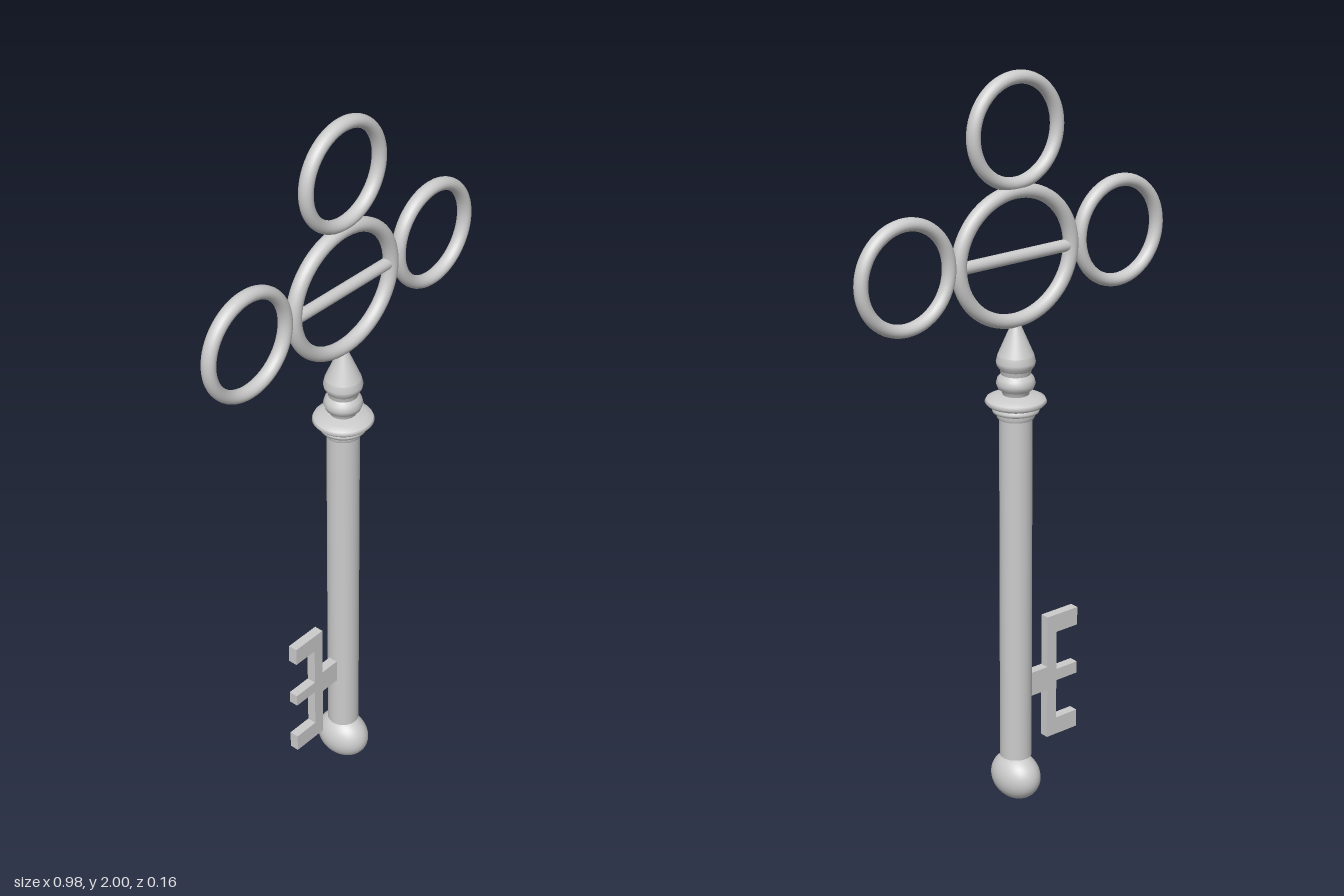
import * as THREE from 'three';

const metal = new THREE.MeshStandardMaterial({ color: 0xcccccc });

function add(group, name, geometry, x = 0, y = 0, z = 0) {
  const mesh = new THREE.Mesh(geometry, metal);
  mesh.name = name;
  mesh.position.set(x, y, z);
  group.add(mesh);
  return mesh;
}

// Lathe with crisp edges between smooth runs; each run lists [radius, y] upward
function turned(group, name, runs) {
  const part = new THREE.Group();
  part.name = name;
  runs.forEach((run, i) => {
    const points = run.map(([r, y]) => new THREE.Vector2(r, y));
    add(part, `${name}Section${i + 1}`, new THREE.LatheGeometry(points, 48));
  });
  group.add(part);
}

export function createModel() {
  const key = new THREE.Group();
  key.name = 'key';

  // Bow: an oval ring with three round rings around it
  const bow = new THREE.Group();
  bow.name = 'bow';
  key.add(bow);
  const oval = add(bow, 'centreRing', new THREE.TorusGeometry(0.18, 0.02, 20, 72), 0, 1.533);
  oval.scale.y = 0.925;
  const ringGeometry = new THREE.TorusGeometry(0.132, 0.017, 20, 64);
  ringGeometry.scale(1, 1, 1.15);
  add(bow, 'topRing', ringGeometry, 0, 1.851);
  add(bow, 'leftRing', ringGeometry, 0.342, 1.541);
  add(bow, 'rightRing', ringGeometry, -0.342, 1.541);

  // Crossbar through the oval ring
  const bar = new THREE.CylinderGeometry(0.016, 0.016, 0.37, 20);
  bar.rotateZ(Math.PI / 2);
  add(bow, 'crossbar', bar, 0, 1.532);

  // Finial: cone, groove and bead under the bow
  turned(key, 'finial', [
    [[0.034, 1.16], [0.035, 1.178], [0.046, 1.186], [0.051, 1.2], [0.047, 1.214], [0.038, 1.224]],
    [[0.038, 1.224], [0.041, 1.236]],
    [[0.041, 1.236], [0.049, 1.248], [0.051, 1.258], [0.047, 1.275]],
    [[0.047, 1.275], [0.014, 1.352]],
    [[0.014, 1.352], [0, 1.355]],
  ]);

  // Collar: wide lens-shaped disc over two steps
  turned(key, 'collar', [
    [[0, 1.105], [0.047, 1.105]],
    [[0.047, 1.105], [0.05, 1.112], [0.05, 1.12]],
    [[0.05, 1.12], [0.06, 1.123], [0.062, 1.13], [0.058, 1.136]],
    [[0.058, 1.136], [0.073, 1.142], [0.08, 1.15], [0.076, 1.158], [0.06, 1.165], [0.034, 1.17]],
  ]);

  // Shaft and end ball
  add(key, 'shaft', new THREE.CylinderGeometry(0.043, 0.043, 0.98, 48), 0, 0.62);
  const ball = add(key, 'endBall', new THREE.SphereGeometry(1, 40, 28), 0, 0.066);
  ball.scale.set(0.06, 0.066, 0.078);

  // Bit: three teeth on a spine, joined to the shaft by a short arm
  const outline = [
    [-0.03, 0.295], [-0.03, 0.364], [-0.1, 0.364], [-0.1, 0.512], [-0.205, 0.512], [-0.205, 0.46],
    [-0.132, 0.46], [-0.132, 0.348], [-0.205, 0.348], [-0.205, 0.314], [-0.132, 0.314],
    [-0.132, 0.2], [-0.205, 0.2], [-0.205, 0.15], [-0.1, 0.15], [-0.1, 0.295],
  ];
  const shape = new THREE.Shape(outline.map(([x, y]) => new THREE.Vector2(x, y)));
  add(key, 'bit', new THREE.ExtrudeGeometry(shape, { depth: 0.026, bevelEnabled: false }), 0, 0, -0.013);

  return key;
}
